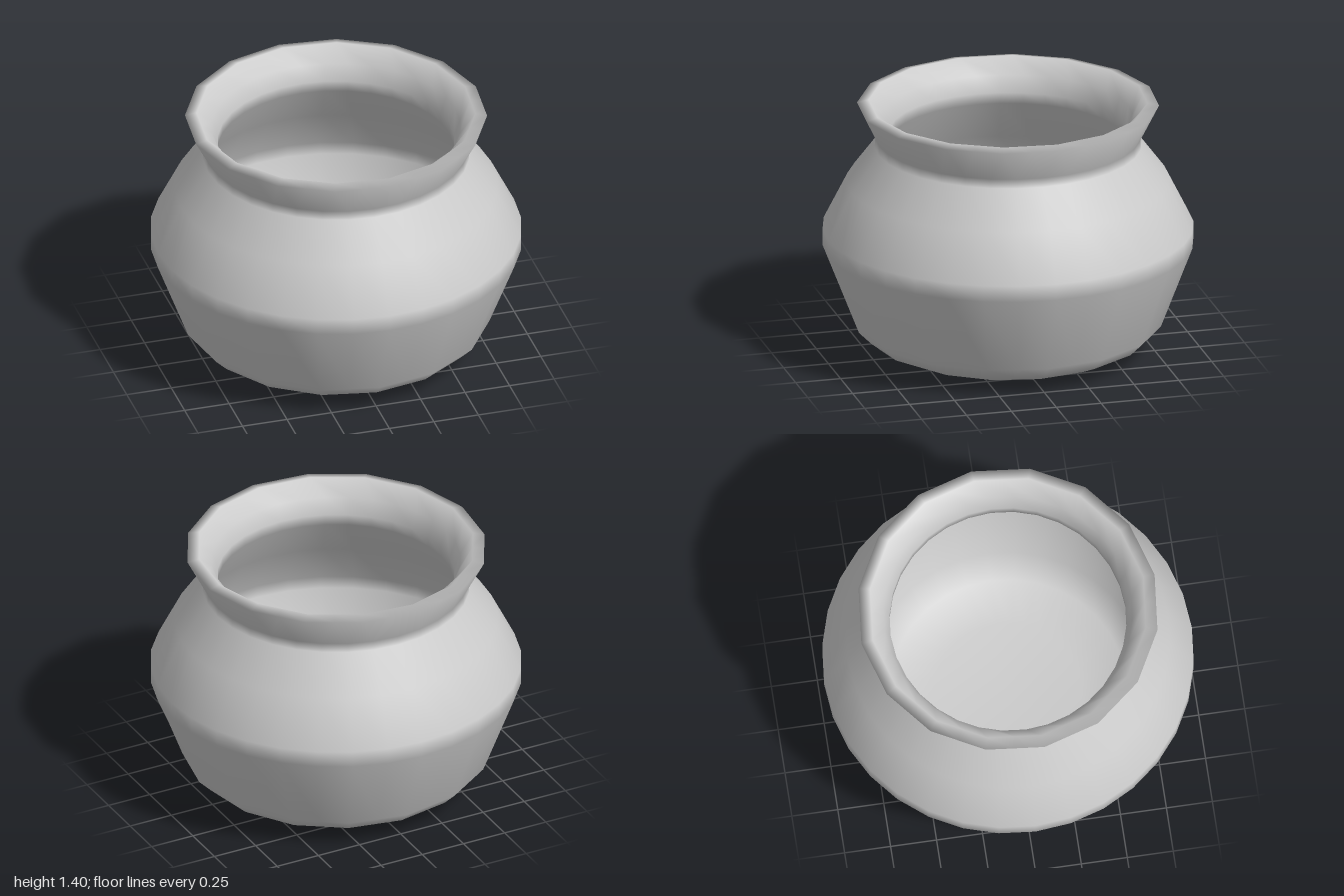
import * as THREE from 'three';
import { mergeVertices } from 'three/addons/utils/BufferGeometryUtils.js';

const SIDES = 32;

// Profile rings: radius, height, and 1 where the ring has half the sides.
const OUTSIDE = [
  [0, 0], [0.3, 0.007], [0.52, 0.02, 1], [0.66, 0.045, 1], [0.76, 0.09, 1],
  [0.83, 0.16, 1], [1, 0.61], [1, 0.7], [0.87, 0.96], [0.72, 1.16], [0.715, 1.21],
];
const RIM = [[0.813, 1.39, 1], [0.75, 1.405, 1]];
const INSIDE = [
  [0.67, 1.32], [0.638, 1.23], [0.638, 1.17], [0.79, 0.93], [0.91, 0.69],
  [0.91, 0.62], [0.76, 0.2], [0.64, 0.1], [0.4, 0.065], [0, 0.055],
];

function potGeometry() {
  const rings = [...OUTSIDE, ...RIM, ...INSIDE];
  const geo = new THREE.LatheGeometry(rings.map(([r, y]) => new THREE.Vector2(r, y)), SIDES);
  const pos = geo.attributes.position;
  for (let i = 0; i < pos.count; i++) {
    const ring = i % rings.length;
    const step = Math.floor(i / rings.length) % SIDES;
    const [r, y, coarse] = rings[ring];
    const isRim = RIM.includes(rings[ring]);
    // The rim is turned half a step; coarse rings pull odd corners onto the chord.
    const angle = ((step + (isRim ? 0.5 : 0)) / SIDES) * Math.PI * 2;
    const radius = coarse && step % 2 ? r * Math.cos((Math.PI * 2) / SIDES) : r;
    pos.setXYZ(i, radius * Math.sin(angle), y, radius * Math.cos(angle));
  }
  // Weld the seam so the shading is smooth all the way round.
  geo.deleteAttribute('uv');
  geo.deleteAttribute('normal');
  const welded = mergeVertices(geo);
  welded.computeVertexNormals();
  return welded;
}

export function createModel() {
  const group = new THREE.Group();
  group.name = 'pot';
  const material = new THREE.MeshStandardMaterial({ color: 0xcccccc });
  // Hollow bellied body with a flared rim
  const body = new THREE.Mesh(potGeometry(), material);
  body.name = 'potBody';
  group.add(body);
  return group;
}
